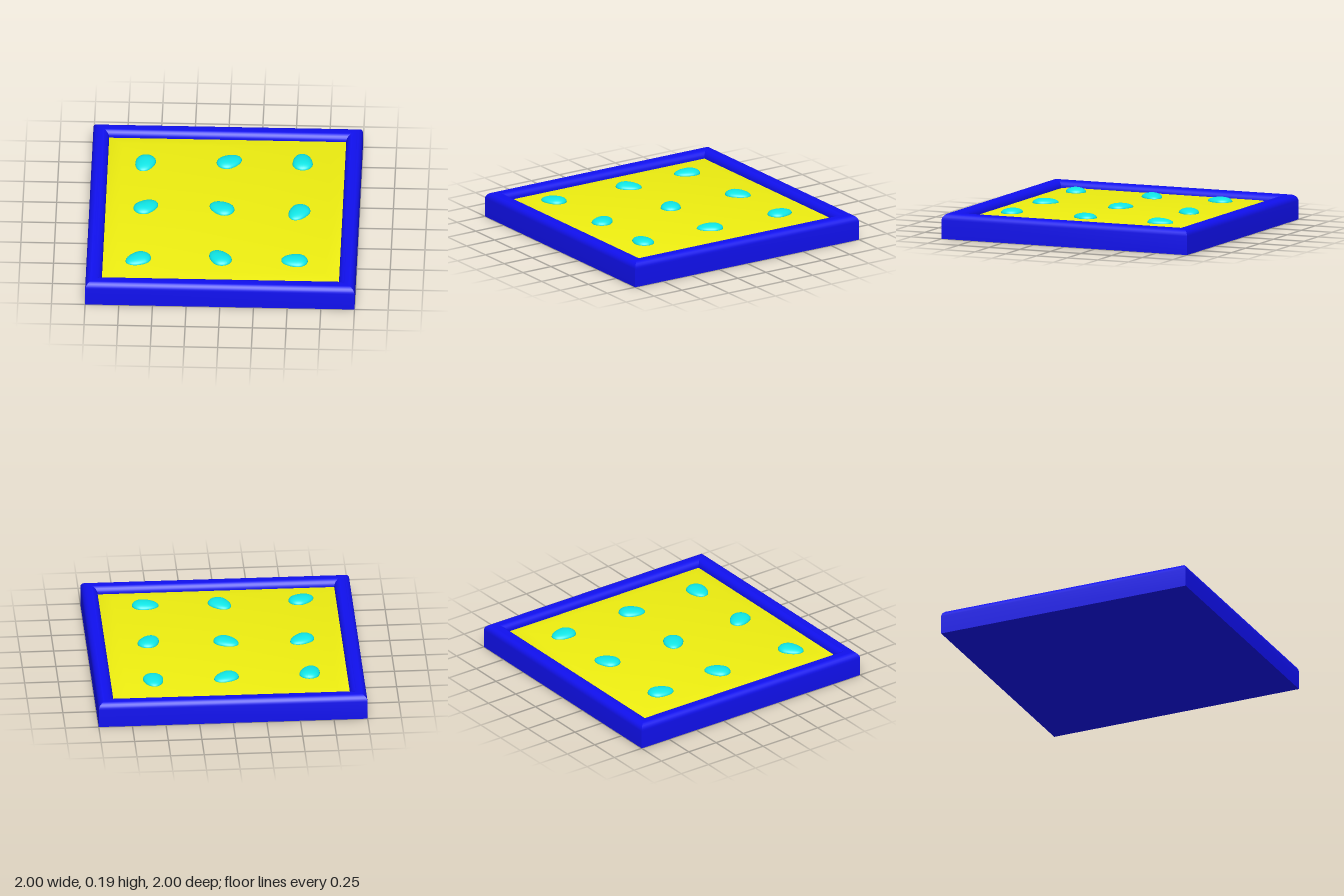
import * as THREE from 'three';
import { toCreasedNormals } from 'three/addons/utils/BufferGeometryUtils.js';

// Sweeps a [half width, height] profile round a square with mitred corners
function squareSweep(profile) {
  const points = profile.map(([r, y]) => new THREE.Vector2(r * Math.SQRT2, y));
  const geometry = new THREE.LatheGeometry(points, 4);
  geometry.rotateY(Math.PI / 4);
  return toCreasedNormals(geometry, Math.PI / 6);
}

// Quarter-circle profile points from angle a0 to a0 + 90 degrees
function quarterArc(cx, cy, radius, a0, steps = 6) {
  return Array.from({ length: steps + 1 }, (_, i) => {
    const a = a0 + (i / steps) * Math.PI / 2;
    return [cx + radius * Math.cos(a), cy + radius * Math.sin(a)];
  });
}

// Flattened egg: a round blunt end, drawn out to a tip along +x
function eggGeometry(radius, tip, height) {
  const geometry = new THREE.SphereGeometry(1, 40, 24);
  const p = geometry.attributes.position;
  for (let i = 0; i < p.count; i++) {
    const x = p.getX(i);
    p.setXYZ(i, x * (x > 0 ? tip : radius), p.getY(i) * height, p.getZ(i) * radius);
  }
  geometry.computeVertexNormals();
  return geometry;
}

export function createModel() {
  const model = new THREE.Group();
  const add = (name, geometry, color) => {
    const mesh = new THREE.Mesh(geometry, new THREE.MeshStandardMaterial({ color }));
    mesh.name = name;
    model.add(mesh);
    return mesh;
  };

  // Tray with a rounded raised rim
  add('tray', squareSweep([
    [0, 0], [1, 0],
    ...quarterArc(0.95, 0.14, 0.05, 0),
    ...quarterArc(0.93, 0.14, 0.05, Math.PI / 2),
    [0.88, 0.1], [0, 0.1],
  ]), 0x1010ee);

  // Inset panel, raised in the middle with sloping borders
  add('panel', squareSweep([[0.88, 0.1], [0.88, 0.135], [0.775, 0.16], [0, 0.16]]), 0xeeee10);

  // Eggs in a 3 x 3 grid, each pointing its own way: tip direction [x, z]
  const columns = [-0.597, 0.003, 0.567];
  const rows = [-0.562, 0.013, 0.63];
  const tips = [
    [-0.03, 0.12], [0.11, -0.07], [-0.01, -0.12],
    [0.1, -0.08], [-0.105, -0.07], [-0.055, 0.11],
    [-0.105, 0.06], [-0.075, -0.1], [-0.12, -0.01],
  ];
  const egg = eggGeometry(0.075, 0.123, 0.035);
  tips.forEach(([dx, dz], i) => {
    const mesh = add(`egg${i + 1}`, egg, 0x10e5e5);
    mesh.position.set(columns[i % 3], 0.16, rows[Math.floor(i / 3)]);
    mesh.rotation.y = Math.atan2(-dz, dx);
  });

  return model;
}
